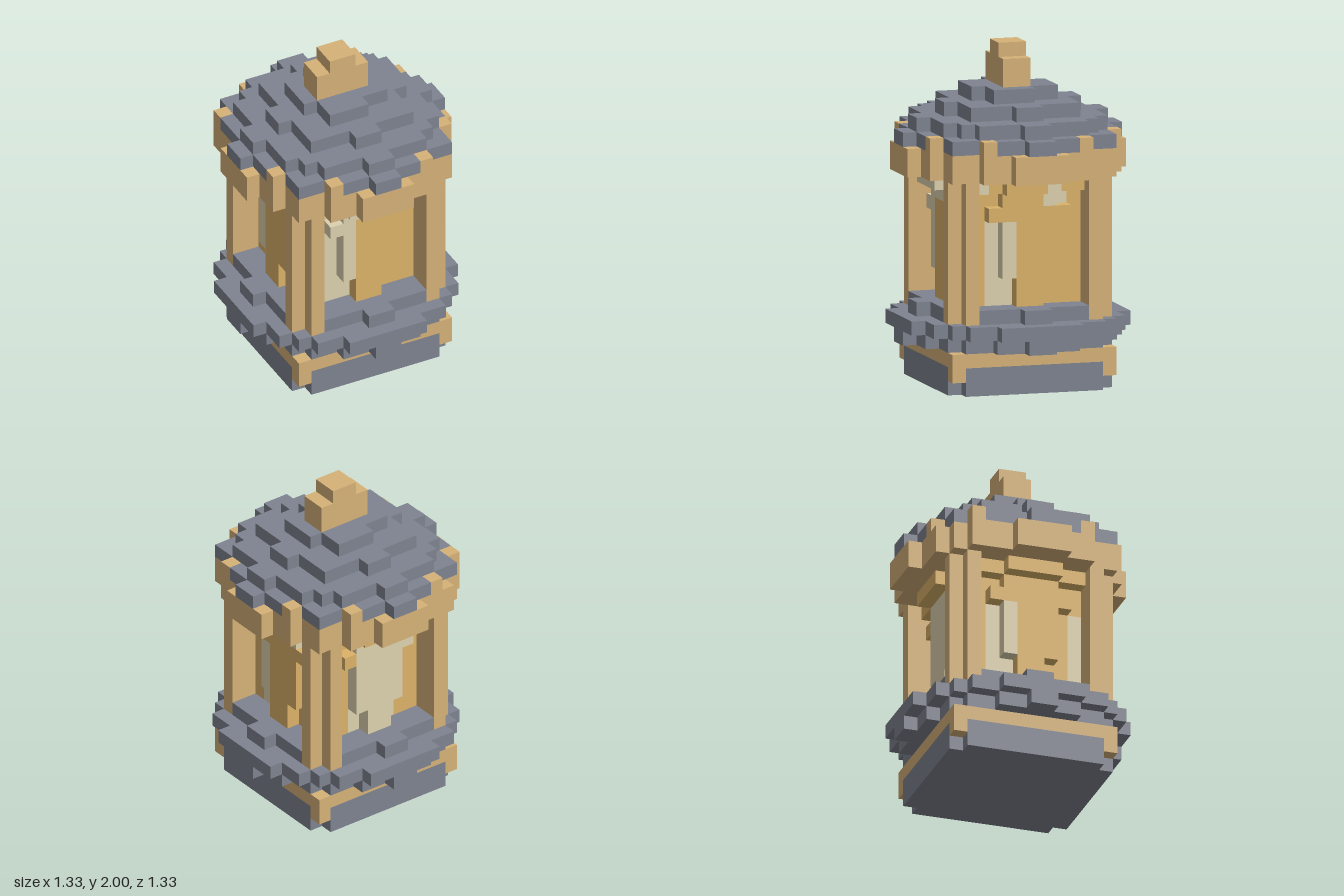
import * as THREE from 'three';
import { mergeGeometries } from 'three/addons/utils/BufferGeometryUtils.js';

const U = 1 / 12; // one block

const material = (name, color) => {
  const m = new THREE.MeshStandardMaterial({ color });
  m.name = name;
  return m;
};

// Box between block coordinates
function block(x0, x1, y0, y1, z0, z1) {
  return new THREE.BoxGeometry((x1 - x0) * U, (y1 - y0) * U, (z1 - z0) * U)
    .translate((x0 + x1) * U / 2, (y0 + y1) * U / 2, (z0 + z1) * U / 2);
}

// Block column of one cell, given its centre
const cell = (x, z, y0, y1) => block(x - 0.5, x + 0.5, y0, y1, z - 0.5, z + 0.5);

// Stepped disc: rows[i] is the half width of the i-th row from the centre.
// pick(x, z, y) names the colour of a cell.
function layer(out, y0, y1, rows, pick) {
  for (let z = -rows.length; z < rows.length; z++) {
    const w = rows[z < 0 ? -1 - z : z];
    let start = -w;
    for (let x = -w; x < w; x++) {
      const c = pick(x, z, y0);
      if (x + 1 < w && pick(x + 1, z, y0) === c) continue;
      (out[c] ??= []).push(block(start, x + 1, y0, y1, z, z + 1));
      start = x + 1;
    }
  }
}

export function createModel() {
  const mats = {
    slate: material('slate', 0x7f8390),
    wood: material('wood', 0xd6b278),
    amber: material('amberGlass', 0xdcb368),
    pale: material('paleGlass', 0xddd2af),
  };
  const group = new THREE.Group();
  const add = (name, mat, geos) => {
    const mesh = new THREE.Mesh(mergeGeometries(geos), mats[mat]);
    mesh.name = name;
    group.add(mesh);
  };
  const addAll = (name, out) => {
    for (const c in out) add(name + c[0].toUpperCase() + c.slice(1), c, out[c]);
  };
  const slate = () => 'slate', wood = () => 'wood';
  const corners = [[1, 1], [1, -1], [-1, 1], [-1, -1]];

  // Foot with notched corners and a wooden band
  add('foot', 'slate', [block(-5, 5, 0, 2, -6, 6), block(-6, -5, 0, 2, -5, 5), block(5, 6, 0, 2, -5, 5)]);
  add('footBand', 'wood', [block(-6, 6, 2, 3, -6, 6),
    ...corners.map(([a, b]) => cell(a * 5.5, b * 5.5, 1, 2))]);

  // Stepped lower rim
  const rim = {};
  layer(rim, 3, 4, [8, 7, 7, 6, 6, 5, 3, 1], slate);
  layer(rim, 4, 5, [8, 8, 8, 7, 7, 6, 5, 3], slate);
  layer(rim, 5, 6, [7, 6, 6, 6, 5, 4, 1], slate);
  addAll('rim', rim);

  // Corner posts, L-shaped in plan
  add('posts', 'wood', corners.flatMap(([a, b]) => [
    cell(a * 4.5, b * 5.5, 5, 15), cell(a * 5.5, b * 4.5, 5, 15), cell(a * 4.5, b * 4.5, 6, 15)]));

  // Glass core with pale reflections on each side
  const between = (v, lo, hi) => (v >= lo && v < hi ? 'pale' : 'amber');
  const shine = (x, z, y) => {
    if (z >= 3 && x >= -4 && x < 4) {
      if (y === 14) return x === 3 && z === 3 ? 'pale' : between(x, -2, 2);
      if (y === 13) return between(x, -3, 3);
      return between(x, y === 12 ? -3 : -4, -1);
    }
    if (z <= -4) return y === 14 ? 'amber' : between(x, y === 12 ? -3 : -2, 2);
    if (x >= 3) {
      if (y === 14) return z === 3 ? 'pale' : between(z, -2, -1);
      if (y === 13) return between(z, -3, -1);
      return y < 12 ? between(z, 1, 3) : 'amber';
    }
    return x <= -4 && y < 12 ? between(z, -3, -1) : 'amber';
  };
  const glass = {};
  layer(glass, 6, 8, [5, 4, 4, 4, 1], shine);
  layer(glass, 8, 12, [5, 5, 4, 4, 2], shine);
  layer(glass, 12, 13, [5, 5, 5, 4, 3], shine);
  layer(glass, 13, 14, [5, 5, 4, 4, 2], shine);
  layer(glass, 14, 15, [6, 6, 5, 5, 4, 2], shine);
  addAll('glass', glass);

  // Wooden collar below the roof, with one extra cell on two sides
  const collar = {};
  layer(collar, 15, 17, [8, 8, 7, 7, 6, 6, 4, 2], wood);
  addAll('collar', collar);
  add('collarEnds', 'wood', [cell(-4.5, -6.5, 15, 17), cell(-6.5, -4.5, 15, 18)]);

  // Roof: eaves with wooden studs, then stepped tiers
  const ring = (v) => (v < 0 ? -1 - v : v);
  const eaves = (x, z) => {
    const a = ring(x), b = ring(z);
    const stud = (a === 3 && b === 6) || (a === 6 && b === 3 && (x > 0 || z > 0));
    return stud ? 'wood' : 'slate';
  };
  const roof = {};
  layer(roof, 17, 18, [8, 7, 7, 7, 6, 6, 4, 1], eaves);
  layer(roof, 18, 19, [7, 6, 6, 6, 5, 4, 1], slate);
  layer(roof, 19, 20, [5, 4, 4, 4, 1], slate);
  addAll('roof', roof);
  add('roofCap', 'slate', [
    block(-1, 2, 20, 21, -3, -2), block(-3, 2, 20, 21, -2, -1), block(-3, 3, 20, 21, -1, 1),
    block(-2, 3, 20, 21, 1, 2), block(-2, 1, 20, 21, 2, 3)]);

  // Finial
  add('finial', 'wood', [block(-2, 2, 21, 23, -1, 1), block(-1, 1, 23, 24, -1, 1)]);
  return group;
}
